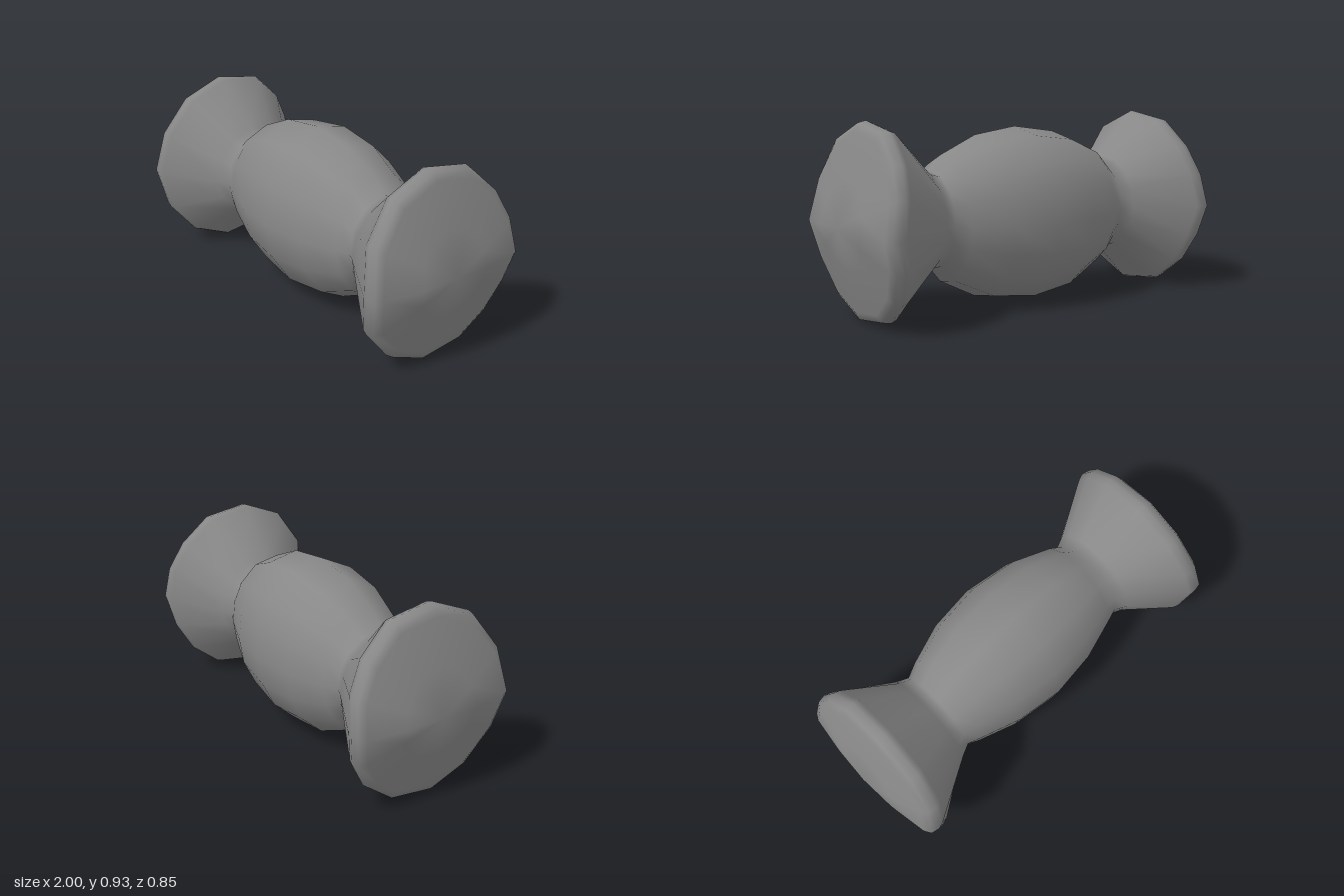
import * as THREE from 'three';
import { mergeVertices } from 'three/addons/utils/BufferGeometryUtils.js';

const MID = 0.46; // height of the long axis

// Slightly irregular outline of a flared end, as [z, y]
const RIM = [
  [0.04, 0.932], [0.25, 0.845], [0.383, 0.665], [0.425, 0.445], [0.387, 0.247],
  [0.25, 0.08], [0.06, 0.0], [-0.17, 0.032], [-0.31, 0.144], [-0.39, 0.29],
  [-0.422, 0.445], [-0.4, 0.615], [-0.325, 0.76], [-0.18, 0.895],
];
const ANGLES = RIM.map(([z, y]) => Math.atan2((y - MID) / 0.465, z / 0.42));

// Elliptical ring across the axis
const ellipseRing = (x, ry, rz, cy, cz) =>
  ANGLES.map((a) => [x, cy + ry * Math.sin(a), cz + rz * Math.cos(a)]);

// Folded end face: furthest out along its middle, falling back above, below and to the sides
const capX = (dy, z) => 1 - 0.275 * Math.abs(dy) - (z > 0 ? 0.3 : 0.2) * z * z;

// Scaled rim outline laid on the folded face, moved inward by back
const rimRing = (scale, back) =>
  RIM.map(([z, y]) => {
    const dy = (y - MID) * scale;
    return [capX(dy, z * scale) - back, MID + dy, z * scale];
  });

// Skin a list of rings that run towards +x
function loft(rings) {
  const n = RIM.length;
  const index = [];
  for (let i = 0; i < rings.length - 1; i++) {
    for (let j = 0; j < n; j++) {
      const a = i * n + j;
      const b = i * n + ((j + 1) % n);
      index.push(a, b, b + n, a, b + n, a + n);
    }
  }
  const skin = new THREE.BufferGeometry();
  skin.setAttribute('position', new THREE.Float32BufferAttribute(rings.flat(2), 3));
  skin.setIndex(index);
  const geometry = mergeVertices(skin);
  geometry.computeVertexNormals();
  return geometry;
}

export function createModel() {
  const group = new THREE.Group();

  const middle = ellipseRing(0, 0.437, 0.342, 0.442, -0.015);

  // One half, from the barrel-shaped body to the folded end face
  const half = [
    ellipseRing(0.24, 0.404, 0.313, 0.442, -0.015),
    ellipseRing(0.44, 0.31, 0.247, 0.448, -0.01),
    // Pinched neck
    ellipseRing(0.51, 0.233, 0.22, 0.455, -0.005),
    ellipseRing(0.57, 0.242, 0.248, 0.46, -0.003),
    // Flare and rounded rim
    rimRing(0.975, 0.085),
    rimRing(1, 0.05),
    rimRing(0.98, 0.012),
    // Folded end face
    rimRing(0.9, 0),
    rimRing(0.45, 0),
    rimRing(0, 0),
  ];
  const mirrored = half.map((ring) => ring.map(([x, y, z]) => [-x, y, z])).reverse();

  const wrapper = new THREE.Mesh(
    loft([...mirrored, middle, ...half]),
    new THREE.MeshStandardMaterial({ color: 0x888888 }),
  );
  wrapper.name = 'twistedWrapper';
  group.add(wrapper);

  return group;
}
